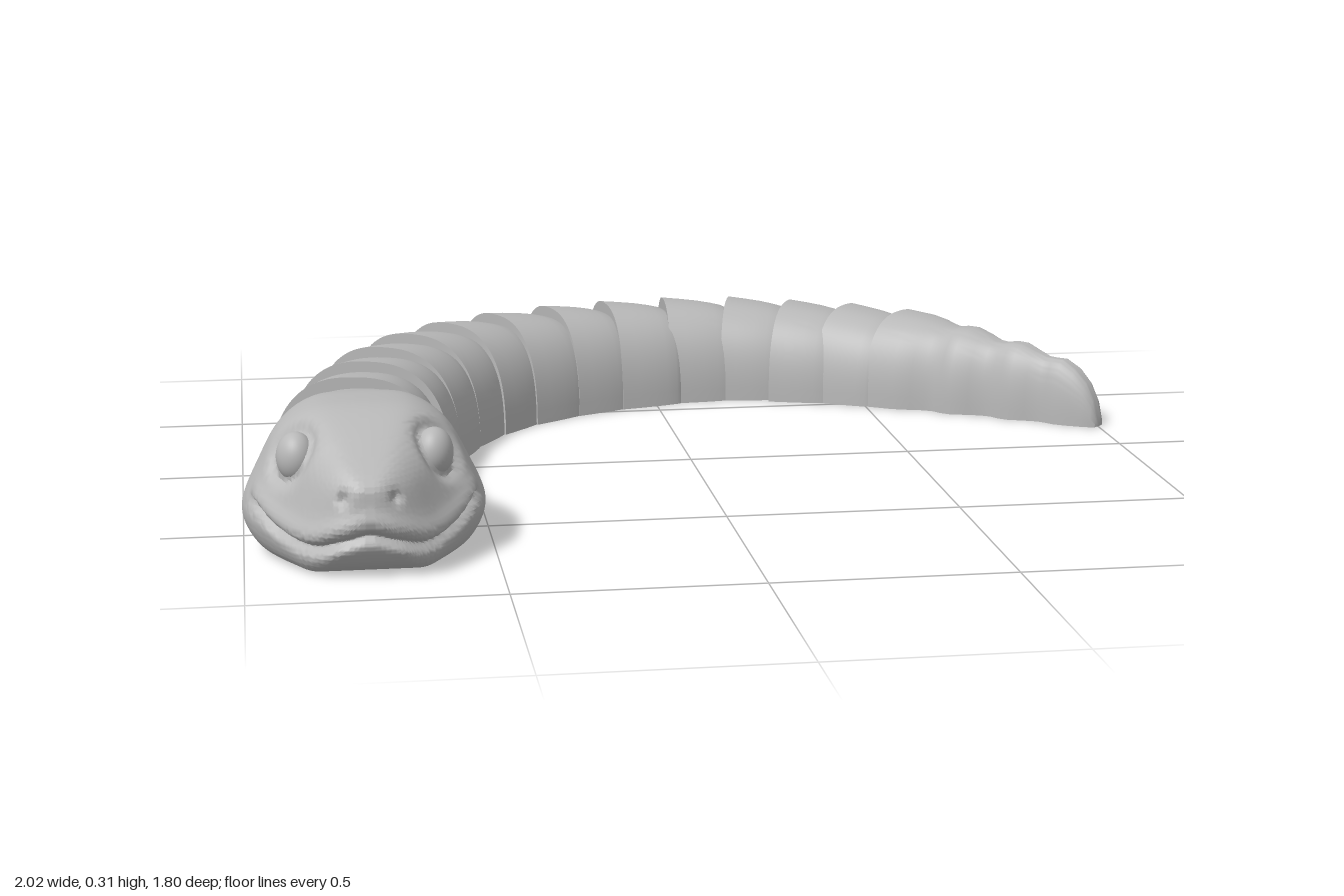
import * as THREE from 'three';
import { toCreasedNormals } from 'three/addons/utils/BufferGeometryUtils.js';

const plastic = new THREE.MeshStandardMaterial({ color: 0xb8b8b8 });
plastic.name = 'grey plastic';

// Skin closed rings of equal length, leaving out collapsed triangles
function loft(rings, crease) {
  const n = rings[0].length, pos = [];
  const tri = (a, b, c) => {
    const area = b.clone().sub(a).cross(c.clone().sub(a)).length();
    if (area > 1e-9) for (const p of [a, b, c]) pos.push(p.x, p.y, p.z);
  };
  for (let i = 0; i + 1 < rings.length; i++) {
    for (let j = 0; j < n; j++) {
      const k = (j + 1) % n;
      tri(rings[i][j], rings[i][k], rings[i + 1][k]);
      tri(rings[i][j], rings[i + 1][k], rings[i + 1][j]);
    }
  }
  const g = new THREE.BufferGeometry();
  g.setAttribute('position', new THREE.Float32BufferAttribute(pos, 3));
  return toCreasedNormals(g, crease);
}

function add(parent, name, geometry) {
  const mesh = new THREE.Mesh(geometry, plastic);
  mesh.name = name;
  parent.add(mesh);
  return mesh;
}

// Rounded arch standing on y = 0
function arch(w, h, z, n = 40) {
  const pts = [];
  for (let i = 0; i <= n; i++) {
    const a = Math.PI * i / n, c = Math.cos(a), s = Math.max(0, Math.sin(a));
    pts.push(new THREE.Vector3(w * Math.sign(c) * Math.abs(c) ** 0.8, h * (s < 1e-6 ? 0 : s ** 0.75), z));
  }
  return pts;
}

// Hollow body shell; each station is [z, half width, height, inner scale]
const shell = stations => loft(stations.map(([z, w, h, k]) =>
  [...arch(w, h, z), ...arch(w * k, h * k, z).reverse()]), 0.75);

const bump = (d, r) => Math.exp(-((d / r) ** 2));

function makeHead() {
  const head = new THREE.Group();
  head.name = 'head';
  head.position.x = -0.757;

  // z, half width, underside, top
  const stations = [
    [0.37, 0.16, 0, 0.215], [0.40, 0.18, 0, 0.252], [0.46, 0.207, 0, 0.286], [0.53, 0.231, 0, 0.303],
    [0.60, 0.243, 0, 0.306], [0.66, 0.233, 0, 0.303], [0.71, 0.208, 0, 0.29], [0.76, 0.174, 0, 0.266],
    [0.80, 0.146, 0.003, 0.243], [0.835, 0.118, 0.02, 0.224], [0.86, 0.09, 0.045, 0.208],
    [0.877, 0.062, 0.075, 0.194], [0.886, 0.037, 0.105, 0.182], [0.89, 0, 0.145, 0.145],
  ];
  const widths = new THREE.SplineCurve(stations.map(s => new THREE.Vector2(s[0], s[1])));
  const heights = new THREE.SplineCurve(stations.map(s => new THREE.Vector2(s[2], s[3])));
  const half = [[0, 0], [0.45, 0], [0.78, 0.015], [0.95, 0.14], [1, 0.33], [0.86, 0.6],
    [0.68, 0.84], [0.4, 0.975], [0, 1]];
  const section = new THREE.SplineCurve(half.map(p => new THREE.Vector2(...p)));
  const mouth = new THREE.SplineCurve([[0, 0.088], [0.06, 0.072], [0.12, 0.056], [0.18, 0.075], [0.24, 0.125]]
    .map(p => new THREE.Vector2(...p)));
  const core = new THREE.Vector3(0, 0.11, 0.6);
  const eye = new THREE.Vector3(0.136, 0.213, 0.707);
  const nostril = new THREE.Vector3(0.05, 0.165, 0.872);

  const M = 96, N = 64, rings = [Array(2 * N).fill(new THREE.Vector3(0, 0.09, 0.37))];
  for (let i = 0; i <= M; i++) {
    const a = widths.getPoint(i / M), b = heights.getPoint(i / M);
    const w = Math.max(0, a.y), low = Math.max(0, b.x), ring = [];
    for (let j = 0; j < 2 * N; j++) {
      const s = section.getPoint((j <= N ? j : 2 * N - j) / N);
      const x = w * Math.max(0, s.x), y = low + (b.y - low) * THREE.MathUtils.clamp(s.y, 0, 1);
      const p = new THREE.Vector3(x, y, a.x);
      // Mouth line, eye sockets and nostrils pressed into the skin
      const front = THREE.MathUtils.smoothstep(p.z, 0.64, 0.7);
      const line = mouth.getPoint(Math.min(1, x / 0.24)).y;
      let dent = 0.085 * front * bump(y - line, 0.011) - 0.035 * front * bump(y - line - 0.033, 0.02);
      dent += 0.06 * bump(p.distanceTo(eye) - 0.056, 0.013);
      dent += 0.05 * bump(p.distanceTo(nostril), 0.012);
      p.lerp(core, dent);
      p.y = Math.max(0, p.y);
      if (j > N) p.x = -p.x;
      ring.push(p);
    }
    rings.push(ring);
  }
  add(head, 'skull', loft(rings, 0.75));

  for (const side of [1, -1]) {
    const ball = add(head, side > 0 ? 'leftEye' : 'rightEye', new THREE.SphereGeometry(1, 32, 24));
    ball.scale.set(0.038, 0.05, 0.043);
    ball.position.set(side * eye.x, eye.y, eye.z);
    ball.rotation.y = -side * 0.35;
  }
  addLink(head, 0.37, 0.05);
  return head;
}

// Rounded joint reaching from one shell into the next
function addLink(parent, z, radius) {
  const link = add(parent, 'link', new THREE.CapsuleGeometry(radius, 0.06, 8, 20));
  link.rotation.x = Math.PI / 2;
  link.position.set(0, radius + 0.03, z);
}

export function createModel() {
  const snake = new THREE.Group();
  snake.name = 'jointedSnake';
  snake.add(makeHead());

  // Wide end of each segment: x, z, heading in degrees
  const spine = [
    [-0.755, 0.376, 1], [-0.755, 0.192, 13], [-0.72, 0.018, 21], [-0.674, -0.147, 30], [-0.602, -0.304, 38],
    [-0.508, -0.436, 49], [-0.39, -0.545, 62], [-0.252, -0.631, 72], [-0.11, -0.688, 82], [0.042, -0.732, 92],
    [0.203, -0.74, 105], [0.344, -0.698, 115], [0.482, -0.652, 129], [0.606, -0.575, 135],
  ];
  // Narrowing of a body segment: position, width scale, inner scale
  const taper = [[0, 1, 1], [0, 1, 0.87], [0.25, 0.975, 0.85], [0.5, 0.945, 0.83], [0.5, 0.945, 0],
    [0.7, 0.91, 0], [0.85, 0.875, 0], [0.94, 0.835, 0], [0.985, 0.78, 0], [1, 0.72, 0], [1, 0, 0]];
  // Ribbed tail: distance, half width, height, inner scale
  const tail = [[0, 0.155, 0.213, 1], [0, 0.155, 0.213, 0.86], [0.07, 0.14, 0.209, 0.8], [0.07, 0.14, 0.209, 0],
    [0.11, 0.122, 0.203, 0], [0.14, 0.106, 0.195, 0], [0.165, 0.101, 0.191, 0], [0.185, 0.106, 0.195, 0],
    [0.21, 0.106, 0.195, 0], [0.25, 0.086, 0.184, 0], [0.28, 0.071, 0.173, 0], [0.305, 0.068, 0.171, 0],
    [0.33, 0.074, 0.176, 0], [0.355, 0.073, 0.175, 0], [0.39, 0.057, 0.162, 0], [0.42, 0.046, 0.151, 0],
    [0.44, 0.046, 0.15, 0], [0.465, 0.05, 0.15, 0], [0.5, 0.043, 0.133, 0], [0.53, 0.034, 0.103, 0],
    [0.55, 0.026, 0.065, 0], [0.56, 0.018, 0.025, 0], [0.562, 0, 0, 0]];

  spine.forEach(([x, z, heading], i) => {
    const f = i / 13, last = i === 13;
    const w = 0.193 - 0.038 * f, h = 0.26 - 0.047 * f;
    const segment = new THREE.Group();
    segment.name = last ? 'tail' : 'bodySegment' + (i + 1);
    segment.position.set(x, 0, z);
    segment.rotation.y = Math.PI - THREE.MathUtils.degToRad(heading);
    snake.add(segment);
    if (last) {
      add(segment, 'tailShell', shell(tail));
      return;
    }
    const next = spine[i + 1], length = 1.06 * Math.hypot(next[0] - x, next[1] - z);
    add(segment, 'bodyShell', shell(taper.map(([s, k, inner]) =>
      [s * length, w * k, h * (k > 0 ? 1 - (1 - k) * 0.75 : 0), inner])));
    addLink(segment, length, 0.05 - 0.012 * f);
  });
  return snake;
}
